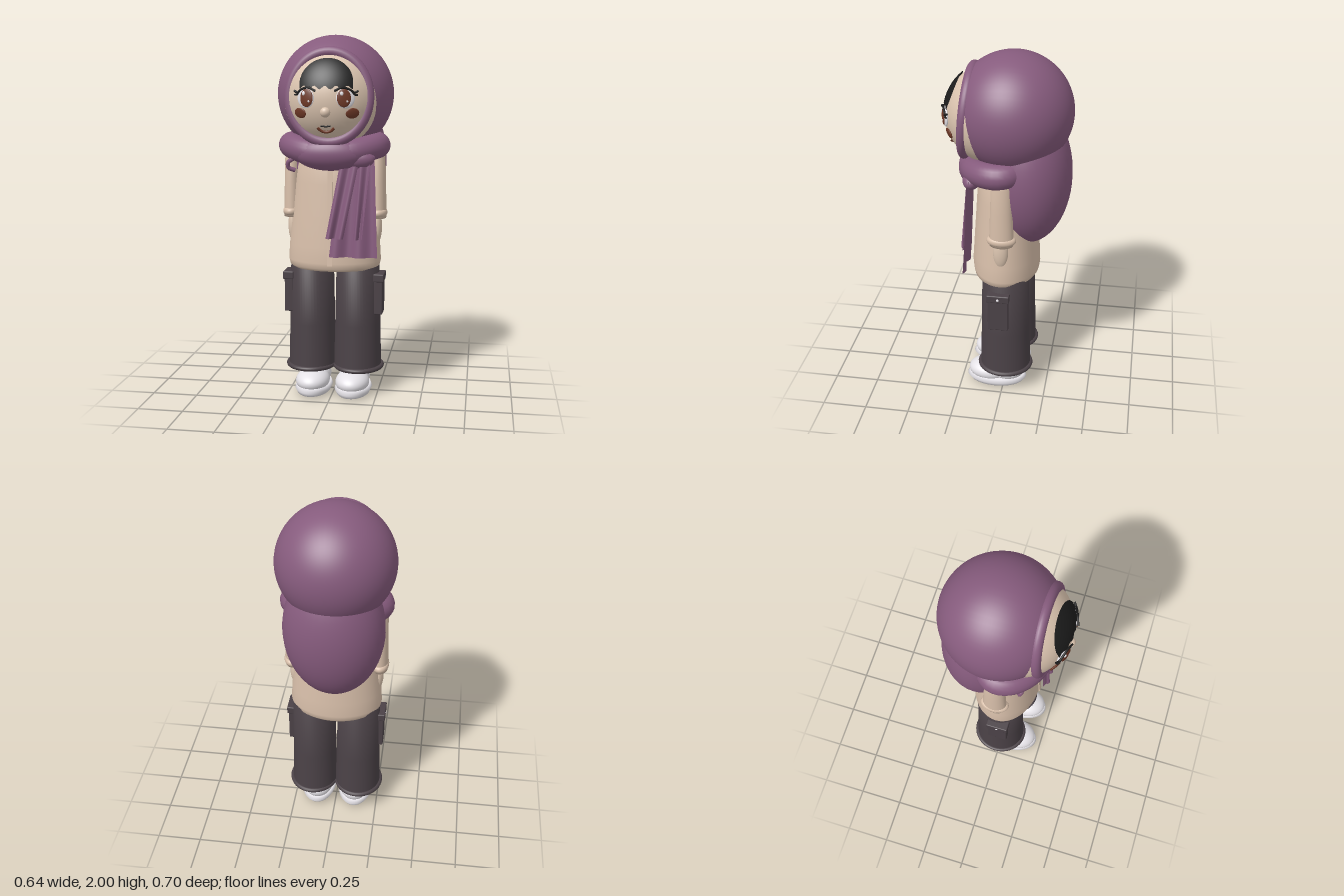
import * as THREE from 'three';
import { ParametricGeometry } from 'three/addons/geometries/ParametricGeometry.js';
import { RoundedBoxGeometry } from 'three/addons/geometries/RoundedBoxGeometry.js';

const material = (name, color, side = THREE.FrontSide) => {
  const m = new THREE.MeshStandardMaterial({ color, side });
  m.name = name;
  return m;
};
const V = (x, y, z) => new THREE.Vector3(x, y, z);
const lerp = THREE.MathUtils.lerp;

export function createModel() {
  const model = new THREE.Group();
  model.name = 'hoodedFigure';

  const scarf = material('plum cloth', 0x865b7d, THREE.DoubleSide);
  const skin = material('skin', 0xdcc5b0);
  const coat = material('beige coat', 0xd8bfaa);
  const trouser = material('charcoal trousers', 0x4b4247);
  const white = material('white', 0xeae7ec);
  const black = material('black hair', 0x1c1c1c, THREE.DoubleSide);
  const brown = material('brown', 0x703a28);

  const add = (name, geo, mat, pos = [0, 0, 0], scale = [1, 1, 1]) => {
    const m = new THREE.Mesh(geo, mat);
    m.name = name;
    m.position.set(...pos);
    m.scale.set(...scale);
    model.add(m);
    return m;
  };
  const ball = new THREE.SphereGeometry(1, 40, 28);
  const ellipsoid = (name, mat, pos, scale) => add(name, ball, mat, pos, scale);
  const tube = (name, mat, pts, r, closed = false) => add(name, new THREE.TubeGeometry(
    new THREE.CatmullRomCurve3(pts, closed), closed ? 64 : 24, r, closed ? 20 : 8, closed), mat);
  const lathe = (pts) => new THREE.LatheGeometry(pts.map((p) => new THREE.Vector2(...p)), 48);

  // Face surface: a point on the head sphere, and details laid flat against it
  const head = V(0, 1.66, 0.06), headR = 0.27;
  const facePoint = (x, y, r = headR) => {
    const dy = y - head.y;
    return V(x, y, head.z + Math.sqrt(Math.max(r * r - x * x - dy * dy, 0)));
  };
  const onFace = (name, mat, x, y, scale, lift = 0) => {
    const m = ellipsoid(name, mat, [0, 0, 0], scale);
    const p = facePoint(x, y), n = p.clone().sub(head).normalize();
    m.position.copy(p).addScaledVector(n, lift);
    m.lookAt(m.position.clone().add(n));
    return m;
  };

  // Head and hood, open at the front with a rolled rim
  ellipsoid('head', skin, head.toArray(), [headR, headR, headR]);
  const hoodGeo = new THREE.SphereGeometry(0.32, 56, 40, 0, Math.PI * 2, 0, Math.PI - 0.8);
  hoodGeo.rotateX(-Math.PI / 2);
  add('hood', hoodGeo, scarf, [0, 1.68, -0.035]);
  const rimPts = [];
  for (let i = 0; i < 24; i++) {
    const a = i / 24 * Math.PI * 2;
    rimPts.push(V(0.212 * Math.cos(a), 1.67 + 0.236 * Math.sin(a), 0.2 - 0.02 * Math.sin(a)));
  }
  tube('hoodRim', scarf, rimPts, 0.029, true);
  ellipsoid('hoodDrape', scarf, [0, 1.32, -0.12], [0.275, 0.4, 0.235]);

  // Fringe following the forehead
  add('fringe', new ParametricGeometry((u, v, t) => {
    const x = lerp(-0.14, 0.14, u);
    const top = 1.74 + 0.133 * Math.sqrt(1 - (x / 0.142) ** 2);
    const bottom = 1.722 + 0.009 * Math.cos(x * 110);
    t.copy(facePoint(x, lerp(bottom, Math.max(top, bottom), v), 0.28));
  }, 40, 14), black);

  // Face details
  onFace('nose', skin, 0, 1.595, [0.027, 0.027, 0.025]);
  for (const s of [-1, 1]) {
    onFace('eyeWhite', white, s * 0.104, 1.668, [0.05, 0.053, 0.012]);
    onFace('iris', brown, s * 0.095, 1.668, [0.037, 0.047, 0.009], 0.008);
    onFace('eyeGlint', white, s * 0.095 - 0.012, 1.69, [0.009, 0.011, 0.005], 0.016);
    onFace('eyeGlintSmall', white, s * 0.095 + 0.014, 1.652, [0.006, 0.006, 0.004], 0.015);
    onFace('cheek', brown, s * 0.136, 1.59, [0.038, 0.028, 0.008], 0.003);
    tube('lashes', black, [[0.05, 1.705], [0.09, 1.722], [0.13, 1.71], [0.15, 1.695], [0.167, 1.705]]
      .map(([x, y]) => facePoint(s * x, y, 0.286)), 0.006);
    tube('lashTip', black, [[0.14, 1.7], [0.152, 1.685], [0.165, 1.684]]
      .map(([x, y]) => facePoint(s * x, y, 0.286)), 0.005);
  }
  tube('mouth', brown, [[-0.045, 1.514], [-0.025, 1.497], [0, 1.491], [0.025, 1.497], [0.045, 1.514]]
    .map(([x, y]) => facePoint(x, y, 0.285)), 0.007);
  tube('upperLip', black, [[-0.025, 1.524], [0, 1.521], [0.025, 1.524]]
    .map(([x, y]) => facePoint(x, y, 0.285)), 0.004);

  // Scarf: wrapped roll, knot and hanging tails
  tube('scarfRoll', scarf, [
    V(0, 1.365, 0.185), V(0.13, 1.38, 0.16), V(0.225, 1.4, 0.07), V(0.235, 1.405, -0.01),
    V(0.13, 1.42, -0.1), V(0, 1.43, -0.12), V(-0.13, 1.42, -0.1), V(-0.235, 1.405, -0.01),
    V(-0.225, 1.4, 0.07), V(-0.13, 1.38, 0.16)], 0.07, true);
  ellipsoid('scarfFront', scarf, [0, 1.37, 0.16], [0.2, 0.095, 0.1]);
  ellipsoid('scarfKnot', scarf, [0.15, 1.34, 0.165], [0.09, 0.05, 0.05]);
  tube('scarfLoop', scarf, [V(-0.2, 1.34, 0.14), V(-0.235, 1.315, 0.14), V(-0.235, 1.285, 0.13),
    V(-0.2, 1.27, 0.12)], 0.012);
  const tail = (name, top, bottom, yTop, yBottom, zTop, zBottom, folds) =>
    add(name, new ParametricGeometry((u, v, t) => {
      const wave = 0.014 * Math.sin(u * Math.PI * folds) * (0.5 + 0.5 * v);
      t.set(lerp(lerp(top[0], top[1], u), lerp(bottom[0], bottom[1], u), v),
        lerp(yTop, yBottom, v), lerp(zTop, zBottom, v) + wave);
    }, 32, 16), scarf);
  tail('scarfTailBack', [0.06, 0.24], [0, 0.262], 1.36, 0.81, 0.17, 0.208, 4);
  tail('scarfTailMiddle', [0.16, 0.22], [0.135, 0.18], 1.33, 0.91, 0.185, 0.222, 2);
  tail('scarfTailFront', [0.06, 0.16], [-0.015, 0.08], 1.33, 0.915, 0.19, 0.23, 3);

  // Coat body with a front placket
  add('coat', lathe([[0, 0.73], [0.235, 0.72], [0.253, 0.735], [0.26, 0.765], [0.255, 0.85],
    [0.238, 1.02], [0.218, 1.2], [0.203, 1.32], [0.16, 1.41], [0, 1.45]]),
  coat, [0, 0, 0], [1, 1, 0.72]);
  const placket = add('placket', new THREE.BoxGeometry(0.028, 0.56, 0.008), coat, [0, 1.035, 0.172]);
  placket.rotation.x = -0.07;

  for (const s of [-1, 1]) {
    // Sleeve, cuff and hand
    const sleeve = add('sleeve', lathe([[0, 1.0], [0.064, 1.0], [0.066, 1.04], [0.06, 1.2],
      [0.055, 1.34], [0.035, 1.4], [0, 1.41]]), coat, [s * 0.241, 0, -0.005], [0.72, 1, 1]);
    sleeve.rotation.y = 0;
    const cuffGeo = new THREE.TorusGeometry(0.06, 0.02, 16, 40);
    cuffGeo.rotateX(Math.PI / 2);
    add('cuff', cuffGeo, coat, [s * 0.244, 1.03, -0.005], [0.62, 1, 1]);
    ellipsoid('hand', skin, [s * 0.235, 0.95, 0], [0.03, 0.1, 0.042]);

    // Trouser leg with rolled hem
    add('trouserLeg', lathe([[0, 0.14], [0.134, 0.14], [0.134, 0.16], [0.128, 0.4], [0.12, 0.78], [0, 0.78]]),
      trouser, [s * 0.13, 0, -0.01], [1, 1, 1.08]);
    const hemGeo = new THREE.TorusGeometry(0.132, 0.013, 12, 48);
    hemGeo.rotateX(Math.PI / 2);
    add('trouserHem', hemGeo, trouser, [s * 0.135, 0.147, -0.01], [1, 1, 1.1]);

    // Side pocket with flap and button
    add('pocket', new RoundedBoxGeometry(0.05, 0.22, 0.115, 2, 0.006), trouser, [s * 0.252, 0.572, 0.012]);
    add('pocketFlap', new RoundedBoxGeometry(0.06, 0.045, 0.127, 2, 0.006), trouser, [s * 0.255, 0.67, 0.012]);
    ellipsoid('pocketButton', white, [s * 0.285, 0.667, 0.012], [0.004, 0.008, 0.008]);

    // Shoe: rounded sole, toe and heel
    add('shoeSole', lathe([[0, 0], [0.075, 0], [0.094, 0.01], [0.104, 0.032], [0.096, 0.054], [0, 0.064]]),
      white, [s * 0.113, 0, 0.045], [1, 1, 1.69]);
    ellipsoid('shoeToe', white, [s * 0.113, 0.075, 0.085], [0.095, 0.063, 0.125]);
    ellipsoid('shoeHeel', white, [s * 0.113, 0.085, -0.015], [0.088, 0.07, 0.105]);
  }
  return model;
}
